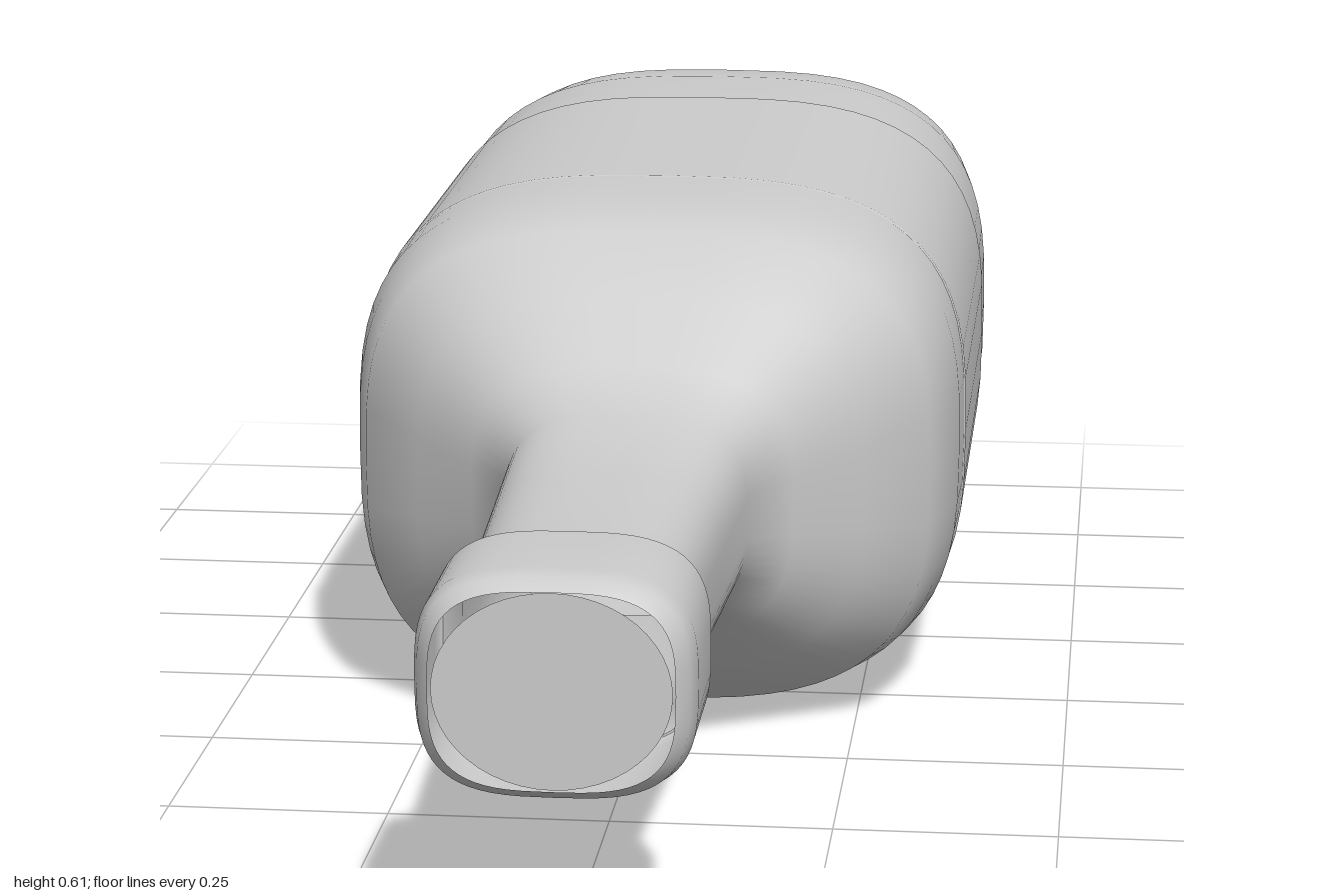
import * as THREE from 'three';

const CENTRE_Y = 0.313;
const SIDES = 64;

// Skin through rounded-rectangle rings, each given as [z, halfWidth, halfHeight]
function loft(name, rings, material, power = 3) {
  const positions = [], index = [];
  const bend = (v) => Math.sign(v) * Math.pow(Math.abs(v), 2 / power);
  rings.forEach(([z, w, h], i) => {
    for (let j = 0; j < SIDES; j++) {
      const a = (j / SIDES) * Math.PI * 2;
      positions.push(w * bend(Math.cos(a)), h * bend(Math.sin(a)), z);
      if (i === rings.length - 1) continue;
      const p = i * SIDES + j, q = i * SIDES + ((j + 1) % SIDES);
      index.push(p, q, p + SIDES, q, q + SIDES, p + SIDES);
    }
  });
  const geometry = new THREE.BufferGeometry();
  geometry.setAttribute('position', new THREE.Float32BufferAttribute(positions, 3));
  geometry.setIndex(index);
  geometry.computeVertexNormals();
  const mesh = new THREE.Mesh(geometry, material);
  mesh.name = name;
  mesh.position.y = CENTRE_Y;
  return mesh;
}

export function createModel() {
  const group = new THREE.Group();
  group.name = 'bottle';
  const grey = new THREE.MeshStandardMaterial({ color: 0xcccccc, side: THREE.DoubleSide });
  grey.name = 'bottle grey';

  // Open lower end of the body
  group.add(loft('lowerBody', [
    [-1, 0.328, 0.273], [-0.93, 0.353, 0.295], [-0.82, 0.364, 0.305], [-0.65, 0.366, 0.306],
  ], grey));

  // Slightly raised label band
  group.add(loft('labelBand', [
    [-0.65, 0.366, 0.306], [-0.648, 0.368, 0.307], [-0.112, 0.368, 0.307], [-0.11, 0.366, 0.306],
  ], grey));

  // Shoulder flowing into the tapered neck
  group.add(loft('shoulderAndNeck', [
    [-0.11, 0.366, 0.306], [-0.02, 0.364, 0.305], [0.04, 0.354, 0.297], [0.11, 0.335, 0.284],
    [0.19, 0.262, 0.222], [0.27, 0.186, 0.161], [0.33, 0.139, 0.117],
    [0.55, 0.13, 0.109], [0.78, 0.121, 0.102], [0.82, 0.136, 0.113],
  ], grey));

  // Collar around the mouth
  group.add(loft('collar', [
    [0.82, 0.136, 0.113], [0.825, 0.144, 0.119], [0.96, 0.144, 0.119],
    [0.985, 0.138, 0.115], [1, 0.125, 0.104],
  ], grey, 3.2));

  // Oval stopper, leaving small gaps at the corners of the mouth
  const stopper = new THREE.Mesh(new THREE.CircleGeometry(1, 48), grey);
  stopper.name = 'stopper';
  stopper.scale.set(0.122, 0.103, 1);
  stopper.position.set(0, CENTRE_Y, 0.998);
  group.add(stopper);

  return group;
}
